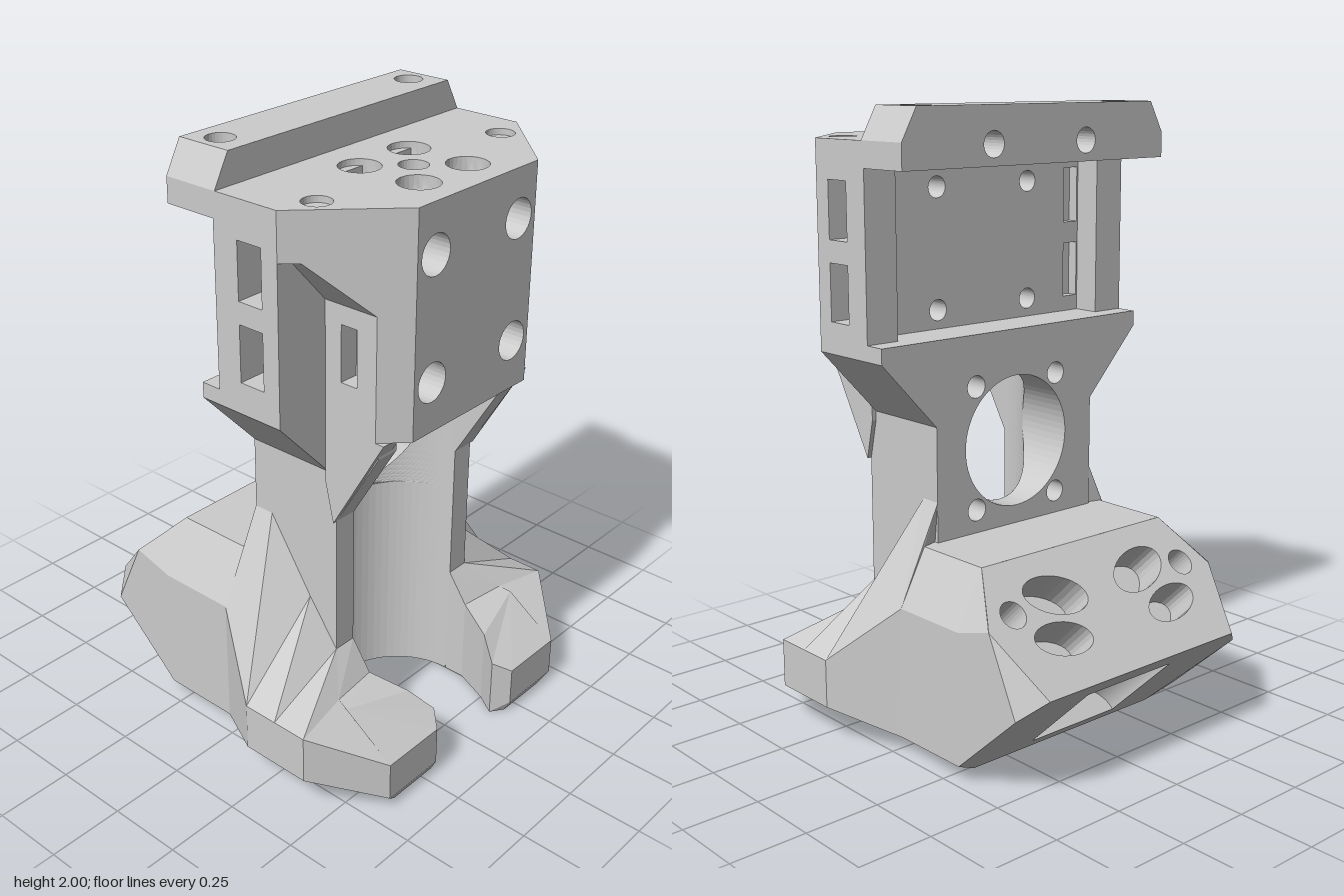
import * as THREE from 'three';

const mat = (side = THREE.FrontSide, flat = true) =>
  new THREE.MeshStandardMaterial({ color: 0xcccccc, side, flatShading: flat });
const solid = mat(), both = mat(THREE.DoubleSide), smooth = mat(THREE.DoubleSide, false);
const inside = mat(THREE.BackSide, false);
const V = (x, y, z) => new THREE.Vector3(x, y, z);

// Drawing planes: [shape x axis, shape y axis]
const FRONT = [V(1, 0, 0), V(0, 1, 0)];   // (x, y), extrudes to +z
const PLAN = [V(1, 0, 0), V(0, 0, 1)];    // (x, z), extrudes down
const SIDE = [V(0, 0, 1), V(0, 1, 0)];    // (z, y), extrudes to -x
const BACK = [V(-1, 0, 0), V(0, 1, 0)];   // (-x, y), extrudes to -z

function add(group, name, geo, material = solid) {
  const m = new THREE.Mesh(geo, material);
  m.name = name;
  group.add(m);
  return m;
}
function place(geo, plane, origin) {
  const [x, y] = plane, z = x.clone().cross(y);
  return geo.applyMatrix4(new THREE.Matrix4().makeBasis(x, y, z).setPosition(origin));
}
const outline = pts => pts.map(p => new THREE.Vector2(p[0], p[1]));
const mirrored = pts => [...pts, ...pts.slice().reverse().map(([x, y]) => [-x, y])];
const rect = (x0, x1, y0, y1) => [[x0, y0], [x1, y0], [x1, y1], [x0, y1]];
function oval(cx, cy, a, b = a, turn = 0, n = 28) {
  return Array.from({ length: n }, (_, i) => {
    const t = i / n * Math.PI * 2, u = a * Math.cos(t), v = b * Math.sin(t);
    return [cx + u * Math.cos(turn) - v * Math.sin(turn), cy + u * Math.sin(turn) + v * Math.cos(turn)];
  });
}
function shape(pts, holes = []) {
  const s = new THREE.Shape(outline(pts));
  holes.forEach(h => s.holes.push(new THREE.Path(outline(h))));
  return s;
}
const prism = (pts, depth, plane, origin, holes) => place(
  new THREE.ExtrudeGeometry(shape(pts, holes), { depth, bevelEnabled: false }), plane, origin);
const face = (pts, plane, origin, holes) => place(new THREE.ShapeGeometry(shape(pts, holes)), plane, origin);

// Round hole lining; profile is [radius, depth] pairs
function lining(group, name, pos, normal, profile) {
  const m = add(group, name, new THREE.LatheGeometry(profile.map(([r, d]) => new THREE.Vector2(r, -d)), 28), smooth);
  m.position.copy(pos);
  m.quaternion.setFromUnitVectors(V(0, 1, 0), normal);
}
// Grid of quads from rows of points
function skin(rows, skip = () => false) {
  const p = [];
  for (let i = 0; i + 1 < rows.length; i++) for (let j = 0; j + 1 < rows[i].length; j++) {
    if (skip(i, j)) continue;
    const a = rows[i][j], b = rows[i + 1][j], c = rows[i + 1][j + 1], d = rows[i][j + 1];
    p.push(...a, ...b, ...c, ...a, ...c, ...d);
  }
  const g = new THREE.BufferGeometry();
  g.setAttribute('position', new THREE.Float32BufferAttribute(p, 3));
  g.computeVertexNormals();
  return g;
}

const HOLE_Y = 0.935, HOLE_R = 0.215, BORE_R = 0.25, BORE_Z = 0.307;

// Everything that repeats on both sides, built for +x
function buildHalf() {
  const g = new THREE.Group();
  // Neck pillar with flared front
  add(g, 'neckPillar', prism([[-0.029, 0.01], [0.31, 0.01], [0.31, 0.87], [0.47, 1.14], [0.47, 1.26], [-0.029, 1.26]],
    0.08, SIDE, V(0.33, 0, 0)));
  add(g, 'neckShoulder', prism([[0.28, 1.0], [0.31, 0.87], [0.5, 1.2], [0.28, 1.2]], 0.075, SIDE, V(0.345, 0, 0)));
  add(g, 'flange', prism([[0.33, 1.03], [0.535, 1.25], [0.535, 1.3], [0.33, 1.3]], 0.309, FRONT, V(0, 0, -0.029)));
  // Side post with two windows
  add(g, 'sidePost', prism(rect(0.04, 0.28, 1.25, 1.88), 0.115, SIDE, V(0.535, 0, 0),
    [rect(0.13, 0.22, 1.35, 1.53), rect(0.13, 0.22, 1.6, 1.78)]));
  add(g, 'innerCheek', prism(rect(0.27, 0.42, 0.165, 0.28), 0.68, PLAN, V(0, 1.88, 0)));
  // Corner of the head, notched below the chamfer
  add(g, 'cheekPlate', prism(rect(0.28, 0.47, 1.2, 1.75), 0.07, SIDE, V(0.345, 0, 0), [rect(0.34, 0.4, 1.35, 1.53)]));
  add(g, 'cheekLining', prism(rect(0.28, 0.47, 1.2, 1.88), 0.01, SIDE, V(0.28, 0, 0)));
  add(g, 'frontWedge', prism([[0.27, 0.47], [0.345, 0.47], [0.27, 0.545]], 0.55, PLAN, V(0, 1.75, 0)));
  add(g, 'upperCorner', prism([[0.27, 0.28], [0.535, 0.28], [0.27, 0.545]], 0.13, PLAN, V(0, 1.88, 0)));
  const o = [0.345, 1.59, 0.47], r = [0.49, 1.75, 0.325], oi = [0.345, 1.59, 0.28], ri = [0.49, 1.75, 0.28];
  const t = [0.345, 1.75, 0.47];
  add(g, 'notchRoof', skin([[o, r], [oi, ri]]), both);
  add(g, 'notchFront', skin([[o, r], [t, t]]), both);
  // Rail end with chamfered top
  add(g, 'railEnd', prism([[0.48, 1.82], [0.535, 1.82], [0.535, 1.9], [0.48, 2]], 0.19, FRONT, V(0, 0, -0.14)));

  // Concave channel wall, cut by the round opening
  const ys = [0];
  for (let i = 0; i <= 24; i++) ys.push(HOLE_Y - HOLE_R * Math.cos(i / 24 * Math.PI));
  ys.push(1.26);
  const bore = ys.map(y => {
    const x0 = Math.sqrt(Math.max(0, HOLE_R ** 2 - (y - HOLE_Y) ** 2)), a0 = Math.asin(x0 / BORE_R);
    return Array.from({ length: 17 }, (_, j) => {
      const a = a0 + (Math.PI / 2 - a0) * j / 16;
      return [BORE_R * Math.sin(a), y, BORE_Z - BORE_R * Math.cos(a)];
    });
  });
  add(g, 'channelWall', skin(bore), smooth);

  // Foot: profiles run bottom edge, low wall, high wall, top, inner top, inner bottom
  const st = (A, B, C, D, [ix, iz], iy) => [A, B, C, D, [ix, iy, iz], [ix, 0, iz]];
  const tip = [0.155, 0.57], core = [0.28, 0], back = [0.385, 0, -0.26];
  const top = [0.385, 0.66, -0.3], heel = [0.48, 0.48, -0.03], heelLow = [0.48, 0.05, -0.03];
  const foot = [
    st([0.155, 0, 0.57], [0.155, 0.05, 0.57], [0.155, 0.2, 0.57], [0.155, 0.2, 0.57], tip, 0.2),
    st([0.2, 0, 0.6], [0.2, 0.04, 0.62], [0.2, 0.17, 0.62], [0.155, 0.2, 0.57], tip, 0.2),
    st([0.385, 0, 0.6], [0.43, 0.04, 0.62], [0.43, 0.17, 0.62], [0.43, 0.29, 0.44], [0.2, 0.5], 0.26),
    st([0.385, 0, 0.4], [0.615, 0.12, 0.43], [0.615, 0.28, 0.43], [0.42, 0.3, 0.4], [0.25, 0.38], 0.3),
    st([0.385, 0, 0.31], [0.615, 0.12, 0.31], [0.615, 0.28, 0.31], [0.33, 0.4, 0.31], [0.25, 0.31], 0.4),
    st([0.385, 0, 0.2], [0.615, 0.12, 0.19], [0.615, 0.28, 0.19], [0.33, 0.55, 0.2], [0.28, 0.2], 0.55),
    st([0.385, 0, -0.03], heelLow, heel, [0.33, 0.79, 0.04], core, 0.66),
    st([0.385, 0, -0.03], heelLow, heel, [0.33, 0.79, -0.03], core, 0.66),
    st([0.385, 0, -0.03], heelLow, heel, [0.385, 0.66, -0.03], core, 0.66),
    st(back, [0.48, 0.05, -0.3], [0.48, 0.48, -0.3], top, core, 0.66),
    st(back, [0.48, 0.28, -0.555], [0.48, 0.52, -0.44], top, core, 0.66),
    st(back, [0.4, 0.34, -0.615], [0.4, 0.34, -0.615], top, core, 0.66),
    st([0, 0, -0.26], [0, 0.34, -0.615], [0, 0.34, -0.615], [0, 0.66, -0.3], [0, 0], 0.66),
  ].map(s => [...s, s[0]]);
  add(g, 'foot', skin(foot, (i, j) => (i >= 10 && j === 2) || (i === 11 && j === 0)), both);
  return g;
}

export function createModel() {
  const model = new THREE.Group();
  model.name = 'toolHead';
  const left = buildHalf();
  left.name = 'leftHalf';
  const right = left.clone();
  right.name = 'rightHalf';
  right.scale.x = -1;
  model.add(left, right);

  const sides = [-1, 1];
  const pairs = (x, list) => list.flatMap(y => sides.map(s => [s * x, y]));

  // Head: front panel, rear panel and top plate
  const screws = pairs(0.19, [1.36, 1.745]);
  add(model, 'frontPanel', prism(rect(-0.27, 0.27, 1.2, 1.88), 0.075, FRONT, V(0, 0, 0.47),
    screws.map(([x, y]) => oval(x, y, 0.062))));
  add(model, 'rearPanel', prism(rect(-0.43, 0.43, 1.25, 1.88), 0.035, FRONT, V(0, 0, 0.13), [
    ...screws.map(([x, y]) => oval(x, y, 0.034)),
    ...sides.flatMap(s => [1.35, 1.6].map(y => rect(s * 0.385 - 0.03, s * 0.385 + 0.03, y, y + 0.18)))]));
  screws.forEach(([x, y]) => lining(model, 'frontScrewHole', V(x, y, 0.545), V(0, 0, 1),
    [[0.062, 0], [0.062, 0.08], [0.034, 0.08], [0.034, 0.39]]));
  const bolts = [...pairs(0.11, [0.2, 0.415])], blind = pairs(0.41, [0.31]);
  add(model, 'topPlate', prism(mirrored([[0.535, 0.04], [0.535, 0.28], [0.27, 0.545]]), 0.04, PLAN, V(0, 1.9, 0), [
    ...bolts.map(([x, z]) => oval(x, z, 0.064)), ...blind.map(([x, z]) => oval(x, z, 0.045)),
    oval(0, BORE_Z, 0.045)]));
  const up = V(0, 1, 0);
  bolts.forEach(([x, z]) => lining(model, 'topBoltHole', V(x, 1.9, z), up,
    [[0.064, 0], [0.064, 0.08], [0.03, 0.08], [0.03, 0.12]]));
  blind.forEach(([x, z]) => lining(model, 'topPinHole', V(x, 1.9, z), up, [[0.045, 0], [0.045, 0.1], [0, 0.1]]));
  lining(model, 'topCentreHole', V(0, 1.9, BORE_Z), up, [[0.045, 0], [0.045, 0.12]]);

  // Rail along the top rear edge
  add(model, 'railBody', prism(rect(-0.48, 0.48, 1.82, 1.94), 0.12, FRONT, V(0, 0, -0.14),
    sides.map(s => oval(s * 0.19, 1.885, 0.04))));
  add(model, 'railCore', prism(rect(-0.48, 0.48, 1.82, 1.94), 0.07, FRONT, V(0, 0, -0.02)));
  add(model, 'railTop', prism(rect(-0.48, 0.48, -0.14, 0.05), 0.06, PLAN, V(0, 2, 0),
    sides.map(s => oval(s * 0.41, -0.05, 0.045))));

  // Neck back with round opening and four screw holes
  add(model, 'shelf', prism(rect(-0.53, 0.53, -0.029, 0.168), 0.05, PLAN, V(0, 1.3, 0)));
  const mounts = pairs(0.17, [HOLE_Y - 0.2, HOLE_Y + 0.2]);
  add(model, 'neckBack', face(mirrored([[0.33, 0.4], [0.33, 1.03], [0.535, 1.25], [0.535, 1.3]]), BACK, V(0, 0, -0.03),
    [oval(0, HOLE_Y, HOLE_R, HOLE_R, 0, 64), ...mounts.map(([x, y]) => oval(x, y, 0.036))]));
  mounts.forEach(([x, y]) => lining(model, 'neckScrewHole', V(x, y, -0.03), V(0, 0, -1),
    [[0.036, 0], [0.036, 0.08], [0, 0.08]]));
  const tunnel = Array.from({ length: 65 }, (_, i) => {
    const a = i / 64 * Math.PI * 2, x = HOLE_R * Math.cos(a), y = HOLE_Y + HOLE_R * Math.sin(a);
    return [[x, y, -0.03], [x, y, BORE_Z - Math.sqrt(BORE_R ** 2 - x * x)]];
  });
  add(model, 'roundOpening', skin(tunnel), smooth);
  const arc = Array.from({ length: 33 }, (_, i) => {
    const a = i / 32 * Math.PI;
    return [BORE_R * Math.cos(a), BORE_Z - BORE_R * Math.sin(a)];
  });
  add(model, 'channelBase', prism([...arc, [-0.33, 0.31], [-0.33, -0.03], [0.33, -0.03], [0.33, 0.31]],
    0.02, PLAN, V(0, 0.02, 0)));

  // Sloping rear face with slanted duct openings
  const slope = [V(-1, 0, 0), V(0, 0.32, 0.315).normalize()], foot = V(0, 0.34, -0.615);
  const ducts = sides.flatMap(s => [
    oval(s * 0.235, 0.163, 0.107, 0.056, s * 0.2), oval(s * 0.18, 0.3, 0.118, 0.066, s * 0.3),
    oval(s * 0.365, 0.28, 0.045)]);
  add(model, 'rearSlope', face(mirrored([[0.4, 0], [0.48, 0.247], [0.385, 0.449]]), slope, foot, ducts));
  const inward = slope[0].clone().cross(slope[1]).multiplyScalar(-0.13);
  ducts.forEach(d => add(model, 'ductOpening', prism(d, 0.13, slope, foot.clone().add(inward)), inside));

  // Underside slope with a rounded scoop
  const under = [V(-1, 0, 0), V(0, 0.34, -0.355).normalize()], heel = V(0, 0, -0.26);
  add(model, 'underSlope', face(mirrored([[0.385, 0], [0.4, 0.4916]]), under, heel, [rect(-0.18, 0.18, 0.06, 0.4)]));
  const scoop = new THREE.CylinderGeometry(0.18, 0.18, 0.34, 32, 1, false, Math.PI / 2, Math.PI)
    .scale(1, 1, 0.7).translate(0, 0.23, 0);
  add(model, 'underScoop', place(scoop, under, heel), inside);
  return model;
}
